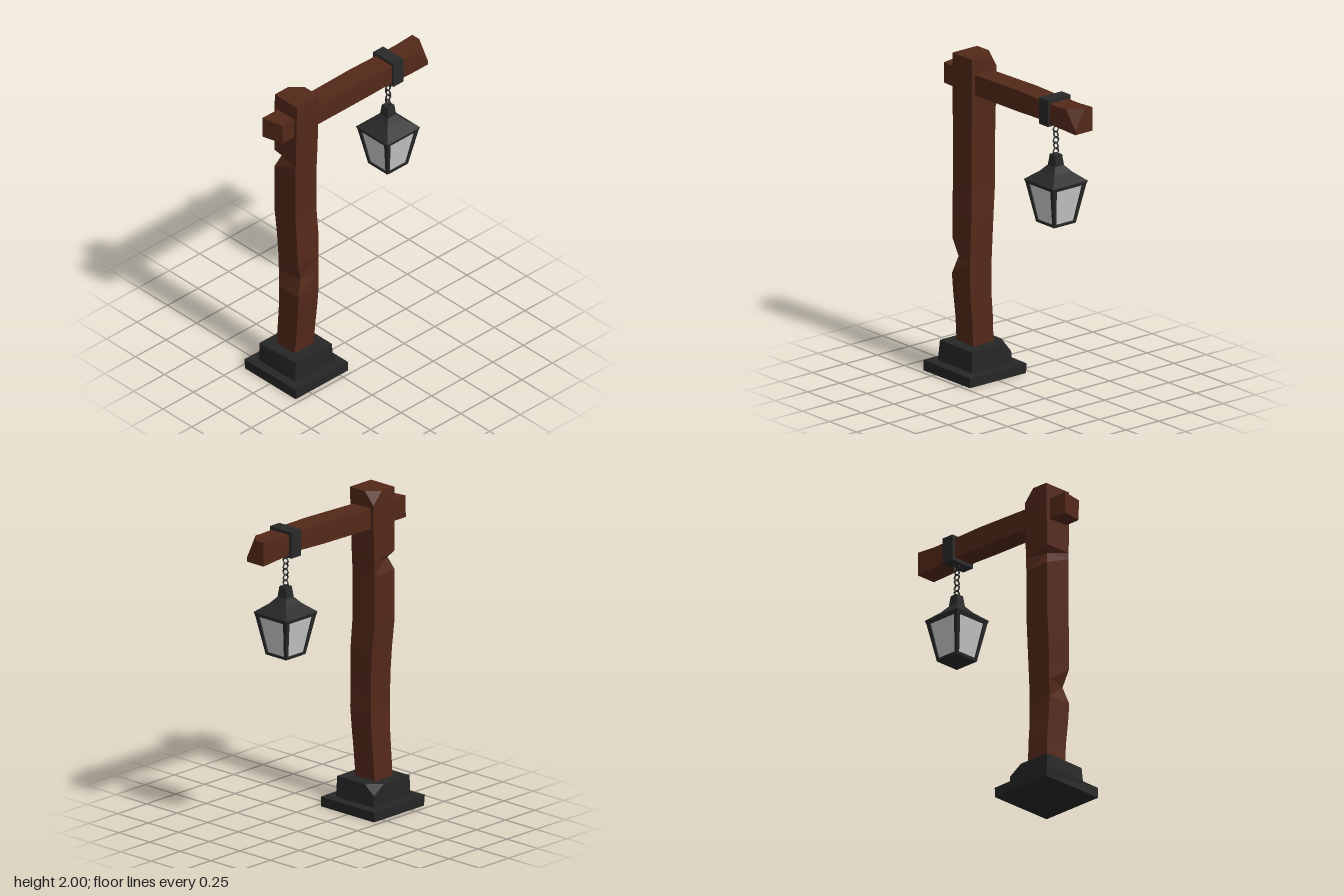
import * as THREE from 'three';
import { ConvexGeometry } from 'three/addons/geometries/ConvexGeometry.js';

const material = (color) => new THREE.MeshStandardMaterial({ color, flatShading: true });

// Four corners of a rectangular section at height t, counter-clockwise from above.
// nudges: { cornerIndex: [dx, dy, dz] } for dents and skewed ends.
function ring(t, x0, x1, z0, z1, nudges = {}) {
  return [[x1, z1], [x1, z0], [x0, z0], [x0, z1]].map(([x, z], i) => {
    const n = nudges[i] || [0, 0, 0];
    return new THREE.Vector3(x + n[0], t + n[1], z + n[2]);
  });
}
const square = (t, h) => ring(t, -h, h, -h, h);

// Skin stacked sections and close both ends.
function loft(rings) {
  const pos = [];
  const quad = (a, b, c, d) => [a, b, c, a, c, d].forEach((p) => pos.push(p.x, p.y, p.z));
  for (let i = 0; i < rings.length - 1; i++) {
    for (let j = 0; j < 4; j++) {
      const k = (j + 1) % 4;
      quad(rings[i][j], rings[i][k], rings[i + 1][k], rings[i + 1][j]);
    }
  }
  const [a, b, c, d] = rings[0];
  quad(d, c, b, a);
  quad(...rings[rings.length - 1]);
  const geo = new THREE.BufferGeometry();
  geo.setAttribute('position', new THREE.Float32BufferAttribute(pos, 3));
  geo.computeVertexNormals();
  return geo;
}

// Block between two sections with one top corner broken off.
// cuts: fractions along the previous edge, the next edge and the upright edge.
function chippedBlock(low, high, corner, cuts) {
  const p = high[corner];
  const ends = [high[(corner + 3) % 4], high[(corner + 1) % 4], low[corner]];
  const broken = ends.map((e, i) => p.clone().lerp(e, cuts[i]));
  return new ConvexGeometry([...low, ...high.filter((_, i) => i !== corner), ...broken]);
}

export function createModel() {
  const model = new THREE.Group();
  const wood = material(0x54291a);
  const iron = material(0x292929);
  const stone = material(0x262626);
  const glass = material(0xcccccc);

  const add = (parent, name, geo, mat) => {
    const mesh = new THREE.Mesh(geo, mat);
    mesh.name = name;
    parent.add(mesh);
    return mesh;
  };

  // Stepped foot
  const foot = new THREE.Group();
  foot.name = 'foot';
  model.add(foot);
  add(foot, 'footSlab', loft([
    ring(0, -0.61, -0.18, -0.215, 0.22),
    ring(0.06, -0.615, -0.18, -0.218, 0.22, { 2: [0, 0.008, 0], 3: [0.008, 0.006, 0] }),
  ]), stone);
  add(foot, 'footBlock', chippedBlock(
    ring(0.05, -0.555, -0.24, -0.155, 0.155),
    ring(0.19, -0.553, -0.247, -0.152, 0.15, { 3: [0.012, 0.004, 0] }),
    1, [0.25, 0.28, 0.4]), stone);

  // Crooked post with dents on two edges and a broken top corner
  const post = new THREE.Group();
  post.name = 'post';
  model.add(post);
  const postTop = ring(1.86, -0.487, -0.307, -0.09, 0.098);
  add(post, 'postShaft', loft([
    ring(0.15, -0.48, -0.325, -0.085, 0.07),
    ring(0.35, -0.475, -0.32, -0.075, 0.085),
    ring(0.5, -0.478, -0.318, -0.062, 0.1),
    ring(0.62, -0.48, -0.315, -0.06, 0.108),
    ring(0.73, -0.48, -0.315, -0.062, 0.106, { 3: [0.035, 0, -0.02] }),
    ring(0.84, -0.48, -0.312, -0.065, 0.104),
    ring(1.0, -0.486, -0.31, -0.072, 0.1),
    ring(1.18, -0.49, -0.318, -0.09, 0.092),
    ring(1.48, -0.49, -0.317, -0.09, 0.092),
    ring(1.56, -0.489, -0.315, -0.09, 0.093, { 2: [0.03, 0, 0.03] }),
    ring(1.6, -0.489, -0.313, -0.09, 0.094),
    postTop,
  ]), wood);
  add(post, 'postTop', chippedBlock(
    postTop, ring(2, -0.485, -0.304, -0.092, 0.1), 1, [0.36, 0.4, 0.55]), wood);

  // Cross beam: sections run along x, so section x is world z and section z is world y
  const beam = new THREE.Group();
  beam.name = 'beam';
  model.add(beam);
  const alongX = (geo) => geo.applyMatrix4(new THREE.Matrix4().set(
    0, 1, 0, 0, 0, 0, 1, 0, 1, 0, 0, 0, 0, 0, 0, 1));
  const beamEnd = ring(0.48, -0.062, 0.08, 1.772, 1.903);
  add(beam, 'beamShaft', alongX(loft([
    ring(-0.6, -0.062, 0.08, 1.772, 1.908,
      { 0: [0, 0.012, 0], 1: [0, 0.015, 0.008], 2: [0, -0.015, 0], 3: [0, -0.012, 0] }),
    ring(-0.3, -0.065, 0.075, 1.772, 1.9),
    ring(0.1, -0.062, 0.08, 1.778, 1.91),
    ring(0.28, -0.06, 0.084, 1.785, 1.907),
    beamEnd,
  ])), wood);
  add(beam, 'beamTip', alongX(chippedBlock(
    beamEnd, ring(0.613, -0.064, 0.07, 1.762, 1.91), 0, [0.55, 0.8, 0.6])), wood);

  // Iron strap round the beam
  const strap = add(model, 'strap', new THREE.BoxGeometry(0.082, 0.165, 0.175), iron);
  strap.position.set(0.35, 1.843, 0.007);

  // Hanging lantern and its chain
  const lantern = new THREE.Group();
  lantern.name = 'lantern';
  lantern.position.set(0.353, 0, 0.002);
  model.add(lantern);
  for (let i = 0; i < 6; i++) {
    const link = add(lantern, 'chainLink', new THREE.TorusGeometry(0.021, 0.006, 4, 6), iron);
    link.position.y = 1.755 - i * 0.035;
    link.rotation.y = (i % 2) * Math.PI / 2;
  }

  // Flared roof
  add(lantern, 'roof', loft([
    square(1.385, 0.13), square(1.4, 0.135), square(1.455, 0.068),
    square(1.495, 0.034), square(1.562, 0.026),
  ]), iron);

  // Tapered panes, corner bars, rails and floor
  add(lantern, 'panes', loft([square(1.145, 0.076), square(1.39, 0.121)]), glass);
  for (const sx of [0, 1]) {
    for (const sz of [0, 1]) {
      const corner = (t, outer, inner) => ring(t,
        sx ? inner : -outer, sx ? outer : -inner, sz ? inner : -outer, sz ? outer : -inner);
      add(lantern, 'cornerBar', loft([corner(1.137, 0.084, 0.066), corner(1.39, 0.13, 0.102)]), iron);
    }
  }
  add(lantern, 'topRail', loft([square(1.377, 0.127), square(1.39, 0.13)]), iron);
  add(lantern, 'lanternFloor', loft([square(1.135, 0.084), square(1.151, 0.087)]), iron);

  return model;
}
